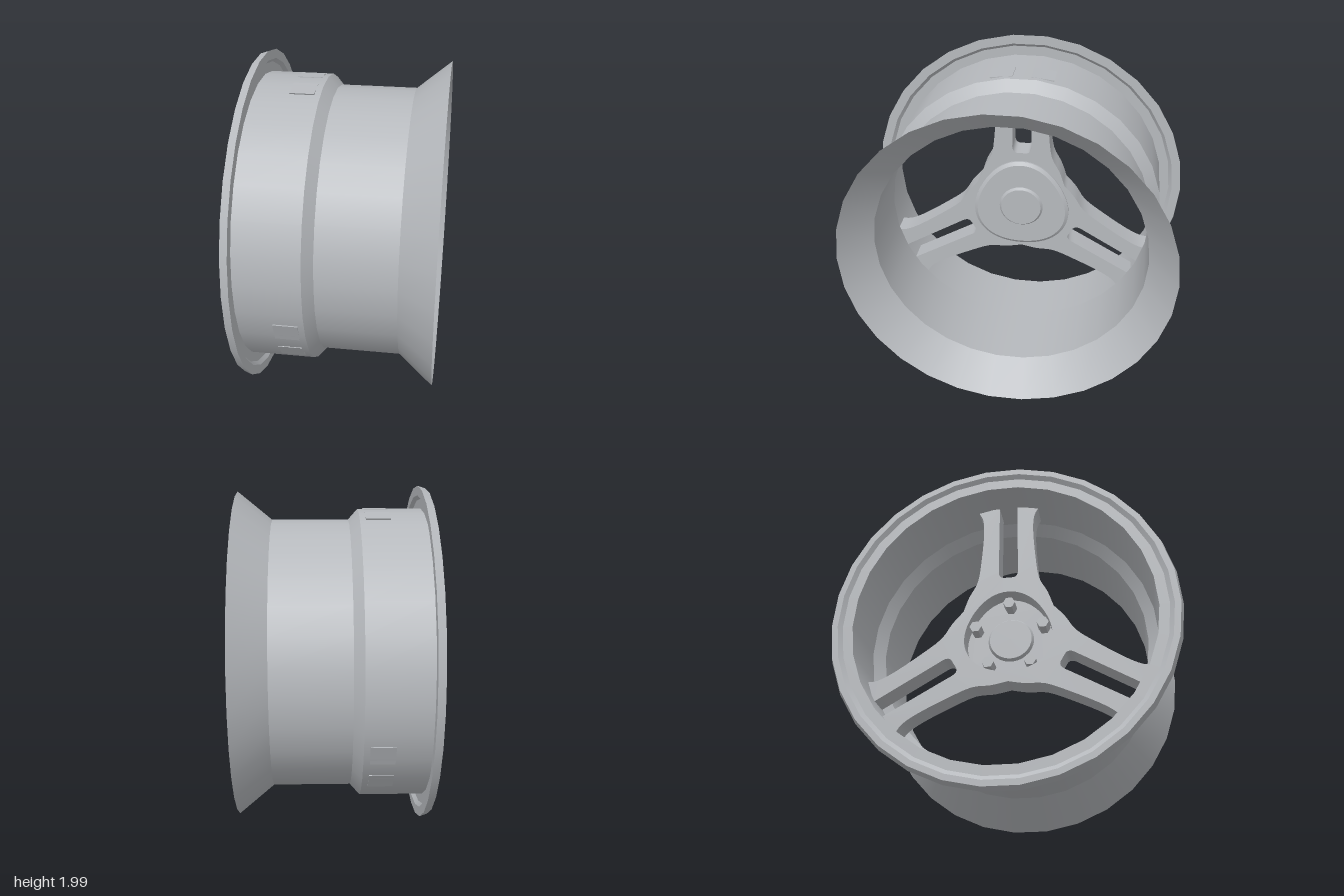
import * as THREE from 'three';
import { mergeGeometries, toCreasedNormals } from 'three/addons/utils/BufferGeometryUtils.js';

const V = (x, y) => new THREE.Vector2(x, y);

// Band of revolution around x; each straight run keeps a sharp edge to the next.
function band(profile) {
  const parts = [];
  for (let i = 0; i < profile.length - 1; i++) {
    const [x0, r0] = profile[i], [x1, r1] = profile[i + 1];
    const g = new THREE.LatheGeometry([V(r0, x0), V(r1, x1)], 30);
    parts.push(g.rotateZ(-Math.PI / 2));
  }
  return mergeGeometries(parts);
}

// Rounded triangle whose corners point along the spokes.
function triPoints(scale) {
  const pts = [];
  for (let i = 0; i < 60; i++) {
    const a = (i / 60) * Math.PI * 2;
    const r = scale * (0.28 + 0.013 * Math.cos(3 * (a - Math.PI / 2)));
    pts.push(V(r * Math.cos(a), r * Math.sin(a)));
  }
  return pts;
}

// Extrude a shape drawn in the wheel plane from x = x0 to x = x1.
function slab(shape, x0, x1, bevel = 0, bevelOut = bevel) {
  const g = new THREE.ExtrudeGeometry(shape, {
    depth: x1 - x0 - 2 * bevel, curveSegments: 6, steps: 1,
    bevelEnabled: bevel > 0, bevelThickness: bevel, bevelSize: bevelOut,
    bevelOffset: -bevelOut, bevelSegments: 1,
  });
  g.translate(0, 0, x0 + bevel);
  g.rotateY(Math.PI / 2);
  return toCreasedNormals(g, 0.5);
}

// Hub web with three forked spokes, as one outline.
function spiderShape() {
  const side = new THREE.SplineCurve([
    V(0.268, 0.155), V(0.235, 0.25), V(0.185, 0.35), V(0.165, 0.5),
    V(0.153, 0.68), V(0.16, 0.79), V(0.19, 0.85),
  ]).getPoints(18);
  const slot = new THREE.Path()
    .moveTo(0.055, 0.866)
    .lineTo(0.058, 0.43)
    .quadraticCurveTo(0.064, 0.37, 0.03, 0.365)
    .lineTo(0, 0.365).getPoints(5);
  const half = [...side, ...slot];
  const mirrored = half.slice(1, -1).reverse().map(p => V(-p.x, p.y));
  const arm = [...half, ...mirrored];
  const pts = [];
  for (let k = 0; k < 3; k++) {
    const a = (k * Math.PI * 2) / 3;
    for (const p of arm) pts.push(p.clone().rotateAround(V(0, 0), a));
  }
  const shape = new THREE.Shape(pts);
  shape.holes.push(new THREE.Path(triPoints(0.92)));
  return shape;
}

export function createModel() {
  const alloy = new THREE.MeshStandardMaterial({ color: 0xb6b9bd, side: THREE.DoubleSide });
  alloy.name = 'alloy grey';
  const wheel = new THREE.Group();
  wheel.name = 'wheel';
  wheel.position.y = 0.995;
  const add = (name, geometry) => {
    const m = new THREE.Mesh(geometry, alloy);
    m.name = name;
    wheel.add(m);
    return m;
  };

  // Rim: stepped barrel, flared inner end and outer lip
  add('barrel', band([[-0.53, 0.867], [-0.155, 0.867], [-0.1, 0.805], [0.35, 0.805]]));
  add('innerFlare', band([[0.35, 0.805], [0.55, 0.97]]));
  add('outerLip', band([
    [-0.53, 0.867], [-0.53, 0.925], [-0.51, 0.945], [-0.51, 1.0], [-0.555, 0.985],
    [-0.555, 0.95], [-0.538, 0.925], [-0.538, 0.867], [-0.53, 0.867],
  ]));

  // Spokes and hub
  add('spokes', slab(spiderShape(), -0.33, -0.19));
  add('hubBoss', slab(new THREE.Shape(triPoints(1.06)), -0.215, -0.165, 0.015, 0.02));

  // Centre collar on both faces of the hub
  add('innerCollar', band([[-0.165, 0.137], [-0.15, 0.125], [-0.15, 0]]));
  add('outerCollar', band([[-0.215, 0.137], [-0.235, 0.125], [-0.235, 0]]));

  // Five hexagonal wheel nuts in the hub recess
  for (let i = 0; i < 5; i++) {
    const a = Math.PI / 2 + (i * Math.PI * 2) / 5;
    const hex = new THREE.CylinderGeometry(0.036, 0.036, 0.1, 6).rotateZ(Math.PI / 2);
    const nut = add('wheelNut', toCreasedNormals(hex, 0.5));
    nut.position.set(-0.255, 0.21 * Math.sin(a), 0.21 * Math.cos(a));
  }
  return wheel;
}
